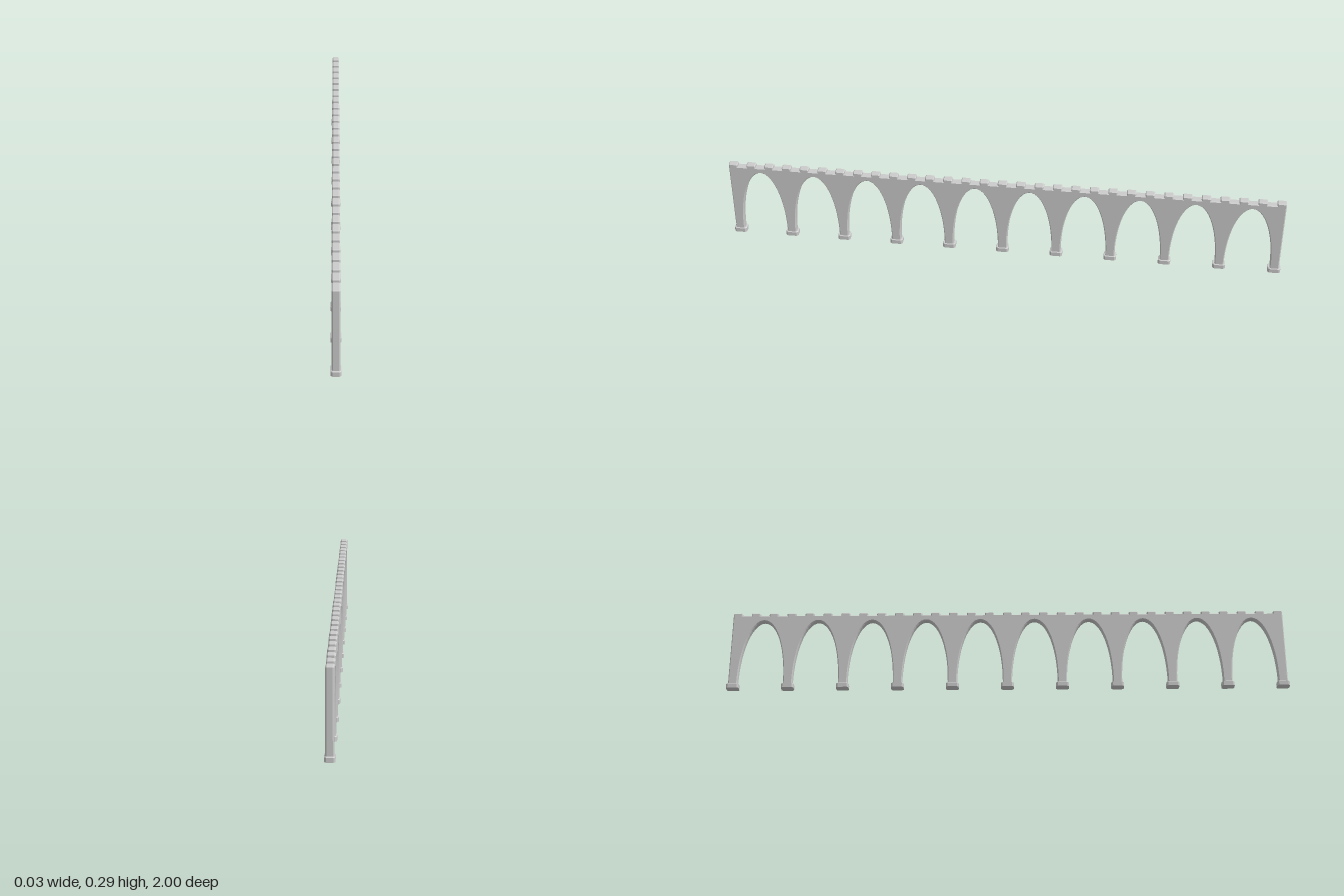
import * as THREE from 'three';

const BAYS = 10;
const PITCH = 0.1955;              // pier to pier
const END = BAYS * PITCH / 2;      // centre of the end piers
const PIER = 0.0165;               // half width of a pier
const TOP = 0.295, CRENEL = 0.285; // merlon top, gap floor
const SPRING = 0.022, CROWN = 0.263;

const material = new THREE.MeshStandardMaterial({ color: 0xcccccc, flatShading: true });

// Extrudes a shape with chamfered rims, keeping its outline and total depth
function chamferExtrude(shape, depth, size, thickness) {
  const geometry = new THREE.ExtrudeGeometry(shape, {
    depth: depth - 2 * thickness, bevelEnabled: true, bevelSegments: 1,
    bevelSize: size, bevelOffset: -size, bevelThickness: thickness,
  });
  return geometry.translate(0, 0, thickness);
}

// Side outline: arches along the bottom, merlons along the top
function wallShape() {
  const s = new THREE.Shape();
  const foot = 0.004, segments = 28;
  s.moveTo(-END - PIER, foot);
  for (let i = 0; i < BAYS; i++) {
    const centre = -END + (i + 0.5) * PITCH;
    const radius = PITCH / 2 - PIER;
    s.lineTo(centre - radius, foot);
    for (let k = 0; k <= segments; k++) {
      const a = Math.PI * (1 - k / segments);
      s.lineTo(centre + radius * Math.cos(a), SPRING + (CROWN - SPRING) * Math.sin(a));
    }
    s.lineTo(centre + radius, foot);
  }
  s.lineTo(END + PIER, foot);

  // Three merlons per bay, with clipped upper corners
  const merlons = BAYS * 3, half = 0.0165, clip = 0.003;
  for (let i = merlons; i >= 0; i--) {
    const c = -END + i * PITCH / 3;
    if (i < merlons) s.lineTo(c + half, CRENEL);
    s.lineTo(c + half, TOP - clip);
    s.lineTo(c + half - clip, TOP);
    s.lineTo(c - half + clip, TOP);
    s.lineTo(c - half, TOP - clip);
    if (i > 0) s.lineTo(c - half, CRENEL);
  }
  s.closePath();
  return s;
}

// Eight-sided plinth with a chamfered top edge
function plinthGeometry() {
  const x = 0.017, z = 0.0225, c = 0.006, height = 0.017, bevel = 0.002;
  const s = new THREE.Shape([
    [x, -z + c], [x, z - c], [x - c, z], [-x + c, z],
    [-x, z - c], [-x, -z + c], [-x + c, -z], [x - c, -z],
  ].map(([px, pz]) => new THREE.Vector2(px, pz)));
  const geometry = chamferExtrude(s, height + bevel, bevel, bevel).rotateX(-Math.PI / 2);
  // Drop the lower rim to the ground at full width
  const p = geometry.attributes.position;
  for (let i = 0; i < p.count; i++) {
    const y = p.getY(i);
    if (y < bevel / 2) {
      p.setX(i, p.getX(i) * x / (x - bevel));
      p.setZ(i, p.getZ(i) * z / (z - bevel));
    }
    p.setY(i, Math.max(0, y - bevel));
  }
  geometry.computeVertexNormals();
  return geometry;
}

export function createModel() {
  const model = new THREE.Group();
  model.name = 'arcadeWall';

  const thickness = 0.027;
  const wallGeometry = chamferExtrude(wallShape(), thickness, 0.0035, 0.0045);
  wallGeometry.translate(0, 0, -thickness / 2).rotateY(-Math.PI / 2);
  const wall = new THREE.Mesh(wallGeometry, material);
  wall.name = 'archedWall';
  model.add(wall);

  const plinths = new THREE.Group();
  plinths.name = 'pierPlinths';
  const geometry = plinthGeometry();
  for (let i = 0; i <= BAYS; i++) {
    const plinth = new THREE.Mesh(geometry, material);
    plinth.name = 'plinth' + (i + 1);
    plinth.position.z = -END + i * PITCH;
    plinths.add(plinth);
  }
  model.add(plinths);
  return model;
}
